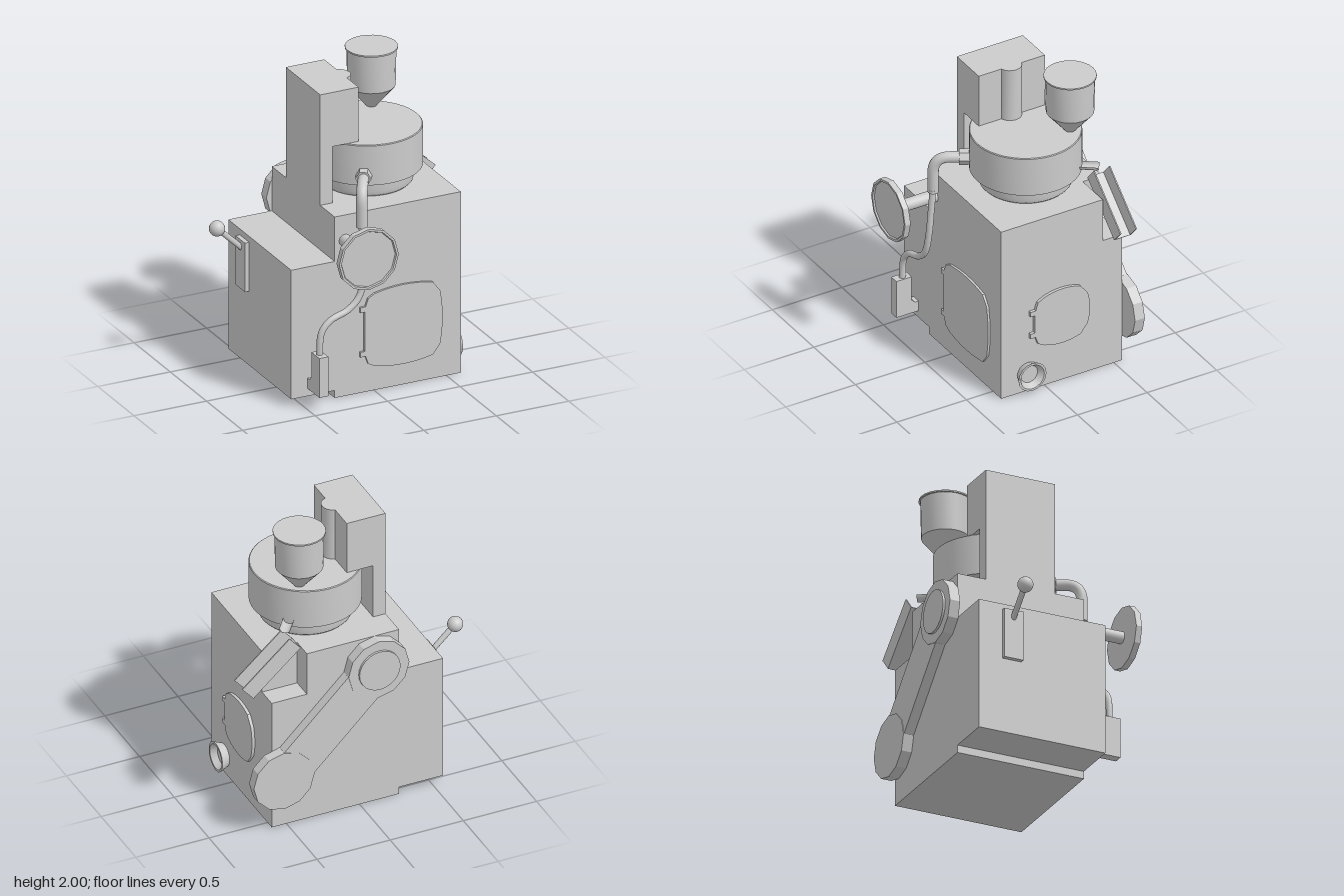
import * as THREE from 'three';
import { toCreasedNormals } from 'three/addons/utils/BufferGeometryUtils.js';

const V = (x, y, z) => new THREE.Vector3(x, y, z);
const pts = (list) => list.map(([x, y]) => new THREE.Vector2(x, y));

export function createModel() {
  const model = new THREE.Group();
  const grey = new THREE.MeshStandardMaterial({ color: 0xcccccc });
  const thin = new THREE.MeshStandardMaterial({ color: 0xcccccc, side: THREE.DoubleSide });

  function add(name, geometry, parent = model, material = grey) {
    const mesh = new THREE.Mesh(toCreasedNormals(geometry, 0.5), material);
    mesh.name = name;
    parent.add(mesh);
    return mesh;
  }
  // Box given by its extents on each axis
  function box(name, [x0, x1], [y0, y1], [z0, z1], parent) {
    const g = new THREE.BoxGeometry(x1 - x0, y1 - y0, z1 - z0);
    g.translate((x0 + x1) / 2, (y0 + y1) / 2, (z0 + z1) / 2);
    return add(name, g, parent);
  }
  // Straight rod between two points
  function rod(name, a, b, radius, sides = 16) {
    const mesh = add(name, new THREE.CylinderGeometry(radius, radius, a.distanceTo(b), sides));
    mesh.position.copy(a).lerp(b, 0.5);
    mesh.quaternion.setFromUnitVectors(V(0, 1, 0), b.clone().sub(a).normalize());
  }
  const lathe = (name, profile, sides, parent, material) =>
    add(name, new THREE.LatheGeometry(pts(profile), sides), parent, material);
  const extrude = (shape, depth) =>
    new THREE.ExtrudeGeometry(shape, { depth, bevelEnabled: false, curveSegments: 8 });

  // Cabinet: full lower box, upper part with a notched rear corner, side box
  box('cabinetBase', [-0.27, 0.6], [0, 0.92], [-0.56, 0.31]);
  const plan = new THREE.Shape(pts([
    [-0.27, -0.31], [0.6, -0.31], [0.6, 0.42], [0.36, 0.42], [0.36, 0.56], [-0.27, 0.56]]));
  add('cabinetTop', extrude(plan, 0.3).rotateX(-Math.PI / 2).translate(0, 0.92, 0));
  box('sideCabinet', [-0.57, -0.27], [0.05, 0.92], [-0.56, 0.31]);

  // Bowl on its rounded neck
  const bowl = new THREE.Group();
  bowl.name = 'bowl';
  bowl.position.set(0.165, 0, -0.125);
  model.add(bowl);
  lathe('bowlNeck', [[0.25, 1.22], [0.275, 1.225], [0.29, 1.24], [0.295, 1.26], [0.295, 1.33]], 48, bowl);
  lathe('bowlDrum', [[0, 1.33], [0.35, 1.33], [0.35, 1.595], [0.345, 1.6], [0, 1.6]], 48, bowl);

  // Hopper with conical outlet and thin rim
  const hopper = lathe('hopper', [[0, 1.59], [0.025, 1.59], [0.15, 1.74], [0.155, 1.99],
    [0.165, 1.99], [0.165, 2], [0, 2]], 24);
  hopper.position.set(0.315, 0, -0.355);

  // Drive column with an arm reaching over the bowl
  const side = new THREE.Shape(pts([
    [-0.27, 1.22], [-0.185, 1.22], [-0.185, 1.6], [-0.005, 1.6], [-0.005, 1.965], [-0.27, 1.965]]));
  add('column', extrude(side, 0.475).translate(0, 0, -0.365));
  const spindle = add('spindleHousing', new THREE.CylinderGeometry(0.075, 0.075, 0.365, 20));
  spindle.position.set(-0.025, 1.7825, -0.125);

  // Handwheel and shaft
  const wheel = lathe('handwheel', [[0, 0], [0.205, 0], [0.205, 0.04], [0.19, 0.04],
    [0.185, 0.03], [0, 0.03]], 12);
  wheel.rotation.x = Math.PI / 2;
  wheel.position.set(-0.2, 1.05, 0.605);
  rod('handwheelShaft', V(-0.2, 1.05, 0.3), V(-0.2, 1.05, 0.61), 0.04, 20);

  // Side lever with ball knob
  box('leverPlate', [-0.6, -0.57], [0.55, 0.88], [-0.4, -0.27]);
  rod('leverRod', V(-0.57, 0.805, -0.335), V(-0.76, 0.985, -0.335), 0.018);
  const knob = add('leverKnob', new THREE.SphereGeometry(0.05, 20, 14));
  knob.position.set(-0.76, 0.985, -0.335);

  // Rear belt guard: two polygonal pulley covers joined by a slanted band
  const upper = V(-0.1, 1.013, 0), lower = V(0.548, 0.37, 0);
  for (const [name, c] of [['upperPulleyCover', upper], ['lowerPulleyCover', lower]]) {
    const cover = add(name, new THREE.CylinderGeometry(0.207, 0.207, 0.07, 12));
    cover.rotation.x = Math.PI / 2;
    cover.position.set(c.x, c.y, -0.595);
  }
  const band = add('beltGuard', new THREE.BoxGeometry(upper.distanceTo(lower), 0.29, 0.066));
  band.position.set((upper.x + lower.x) / 2, (upper.y + lower.y) / 2, -0.593);
  band.rotation.z = Math.atan2(lower.y - upper.y, lower.x - upper.x);
  rod('pulleyCap', V(upper.x, upper.y, -0.62), V(upper.x, upper.y, -0.645), 0.14, 24);

  // Bulged access doors with two hinge tabs each
  function door(name, w, h, depth) {
    const group = new THREE.Group();
    group.name = name;
    const x = w / 2, y = h / 2;
    const s = new THREE.Shape();
    s.moveTo(-x + 0.07, -y + 0.025);
    s.quadraticCurveTo(0, -y - 0.02, x - 0.07, -y + 0.025);
    s.lineTo(x - 0.02, -y + 0.09);
    s.quadraticCurveTo(x + 0.015, 0, x - 0.02, y - 0.09);
    s.lineTo(x - 0.07, y - 0.025);
    s.quadraticCurveTo(0, y + 0.02, -x + 0.07, y - 0.025);
    s.lineTo(-x + 0.025, y - 0.05);
    s.lineTo(-x, y - 0.12);
    s.lineTo(-x, -y + 0.12);
    s.lineTo(-x + 0.025, -y + 0.05);
    add('doorPanel', extrude(s, depth), group);
    for (const k of [-1, 1]) {
      const cy = k * (y - 0.12);
      box('doorHinge', [-x - 0.03, -x + 0.01], [cy - 0.017, cy + 0.017], [0, depth], group);
    }
    model.add(group);
    return group;
  }
  door('frontDoor', 0.54, 0.54, 0.015).position.set(0.2, 0.412, 0.31);
  const sideDoor = door('sideDoor', 0.4, 0.4, 0.02);
  sideDoor.rotation.y = Math.PI / 2;
  sideDoor.position.set(0.6, 0.48, -0.12);

  // Flared outlet port
  const port = lathe('outletPort', [[0.075, 0], [0.1, 0.06], [0.085, 0.06], [0.06, 0.02], [0, 0.02]], 16,
    model, thin);
  port.rotation.z = -Math.PI / 2;
  port.position.set(0.6, 0.13, 0.12);

  // Pipe elbow, hose and spray handle with its holder
  rod('pipeNut', V(0.025, 1.4, 0.13), V(-0.035, 1.4, 0.235), 0.05, 6);
  const elbow = new THREE.CurvePath();
  elbow.add(new THREE.LineCurve3(V(0, 1.4, 0.175), V(-0.06, 1.4, 0.278)));
  elbow.add(new THREE.QuadraticBezierCurve3(V(-0.06, 1.4, 0.278), V(-0.115, 1.4, 0.373), V(-0.115, 1.29, 0.373)));
  elbow.add(new THREE.LineCurve3(V(-0.115, 1.29, 0.373), V(-0.115, 1.15, 0.373)));
  add('pipeElbow', new THREE.TubeGeometry(elbow, 30, 0.035, 16));
  rod('pipeEnd', V(-0.115, 1.17, 0.373), V(-0.115, 1.148, 0.373), 0.035);
  const hosePath = new THREE.CatmullRomCurve3([
    V(-0.115, 1.17, 0.373), V(-0.112, 1, 0.39), V(-0.115, 0.85, 0.402), V(-0.15, 0.7, 0.408),
    V(-0.225, 0.625, 0.408), V(-0.35, 0.575, 0.408), V(-0.41, 0.505, 0.408), V(-0.425, 0.34, 0.41)]);
  add('hose', new THREE.TubeGeometry(hosePath, 48, 0.021, 16));
  const grip = new THREE.Shape(pts([
    [-0.47, 0.1], [-0.31, 0.1], [-0.31, 0.17], [-0.335, 0.17], [-0.36, 0.195], [-0.36, 0.365], [-0.47, 0.365]]));
  add('sprayHandle', extrude(grip, 0.062).rotateY(Math.PI / 2).translate(-0.456, 0, 0));

  // Discharge chute: sloping floor between two thin walls
  const chute = new THREE.Group();
  chute.name = 'chute';
  chute.position.set(0.72, 0.985, -0.49);
  chute.rotation.z = Math.atan2(-0.283, 0.322);
  model.add(chute);
  box('chuteFloor', [-0.43, 0], [0, 0.008], [-0.06, 0.06], chute);
  for (const z of [-0.06, 0.052]) box('chuteWall', [-0.43, 0], [0, 0.115], [z, z + 0.008], chute);

  // Small trough from the bowl into the chute
  const trough = new THREE.CylinderGeometry(0.035, 0.035, 0.14, 12, 1, true, 0, Math.PI);
  const spout = add('bowlSpout', trough.rotateZ(-Math.PI / 2), model, thin);
  spout.rotation.y = Math.PI / 3.4;
  spout.position.set(0.425, 1.385, -0.415);

  return model;
}
